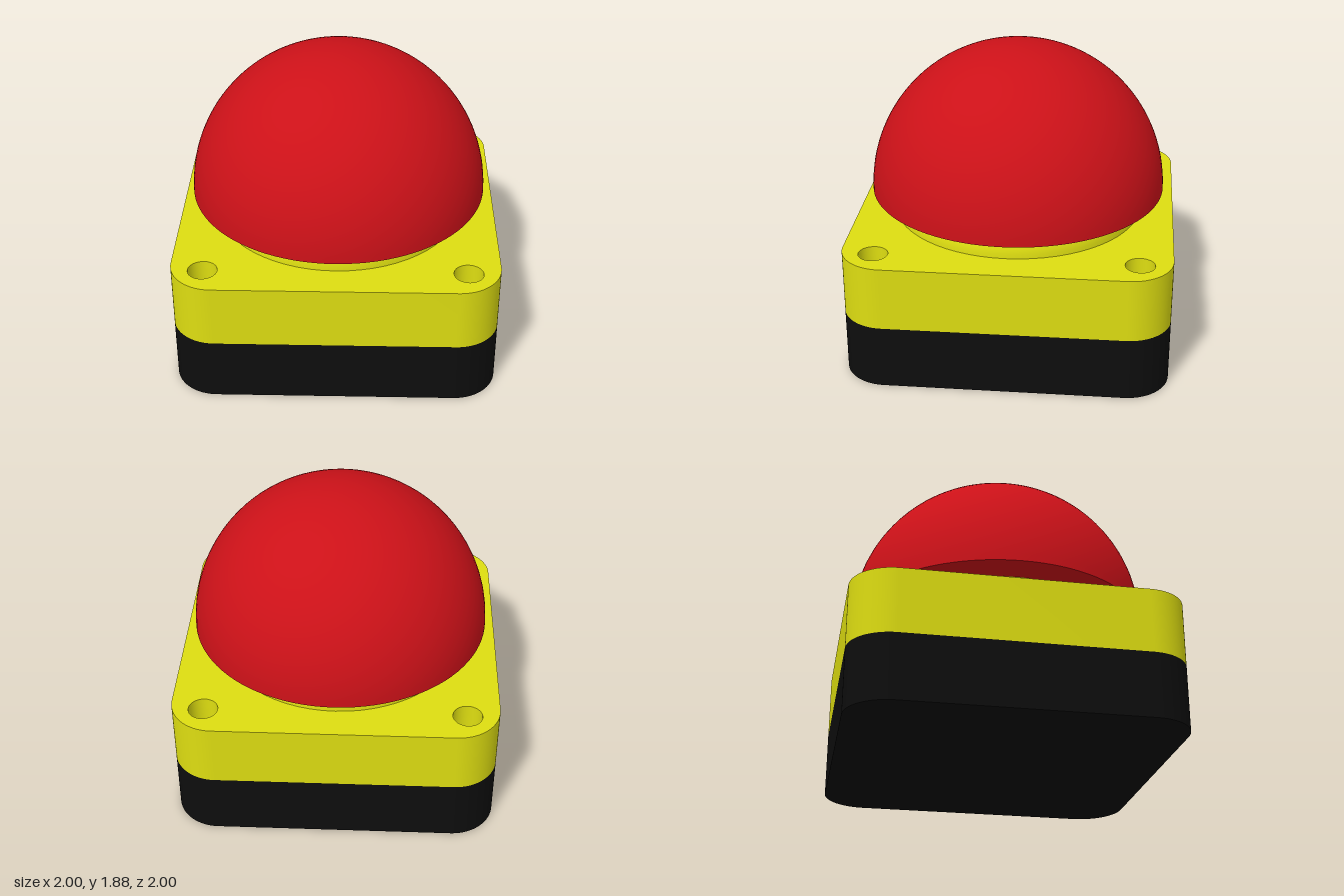
import * as THREE from 'three';
import { toCreasedNormals } from 'three/addons/utils/BufferGeometryUtils.js';

const black = new THREE.MeshStandardMaterial({ color: 0x0d0d0d });
const yellow = new THREE.MeshStandardMaterial({ color: 0xdddd11 });
const red = new THREE.MeshStandardMaterial({ color: 0xcc1118 });

const SCREW = 0.8; // screw hole offset from the centre
const corners = [[-1, -1], [1, -1], [1, 1], [-1, 1]].map(([x, z]) => [x * SCREW, z * SCREW]);

// Square of half-width 1 with rounded corners
function roundedSquare(r) {
  const s = new THREE.Shape();
  const c = 1 - r;
  s.absarc(c, c, r, 0, Math.PI / 2);
  s.absarc(-c, c, r, Math.PI / 2, Math.PI);
  s.absarc(-c, -c, r, Math.PI, Math.PI * 1.5);
  s.absarc(c, -c, r, Math.PI * 1.5, Math.PI * 2);
  s.closePath();
  return s;
}

// Upright slab from a plan shape
function slab(shape, y0, y1) {
  const g = new THREE.ExtrudeGeometry(shape, { depth: y1 - y0, bevelEnabled: false, curveSegments: 16 });
  g.rotateX(-Math.PI / 2).translate(0, y0, 0);
  return toCreasedNormals(g, 0.6);
}

// Turned part from [radius, height] pairs
function turned(points, segments) {
  const g = new THREE.LatheGeometry(points.map(([r, y]) => new THREE.Vector2(r, y)), segments);
  return toCreasedNormals(g, 0.6);
}

// Points of a quarter arc, from the outside up to the top
function quarterArc(cx, cy, r, n) {
  return Array.from({ length: n + 1 }, (_, i) => {
    const a = (i / n) * Math.PI / 2;
    return [i === n ? cx : cx + r * Math.cos(a), cy + r * Math.sin(a)];
  });
}

export function createModel() {
  const model = new THREE.Group();
  model.name = 'pushButton';
  const add = (name, geometry, material) => {
    const mesh = new THREE.Mesh(geometry, material);
    mesh.name = name;
    model.add(mesh);
    return mesh;
  };

  // Lower housing
  add('base', slab(roundedSquare(0.27), 0, 0.4), black);

  // Upper housing with four counterbores
  const plan = roundedSquare(0.27);
  for (const [x, z] of corners) {
    const hole = new THREE.Path();
    hole.absarc(x, z, 0.09, 0, Math.PI * 2, true);
    plan.holes.push(hole);
  }
  add('housing', slab(plan, 0.4, 0.8), yellow);

  // Ledge and narrow bore inside each counterbore
  const seat = turned([[0.09, 0.6], [0.05, 0.6], [0.05, 0.4]], 32);
  for (const [x, z] of corners) add('screwSeat', seat, yellow).position.set(x, 0, z);

  // Rounded collar under the dome
  add('collar', turned([...quarterArc(0.59, 0.8, 0.2, 12), [0, 1]], 64), yellow);

  // Dome with a flat underside
  add('dome', turned([[0, 0.95], ...quarterArc(0, 0.95, 0.93, 32)], 96), red);

  return model;
}
